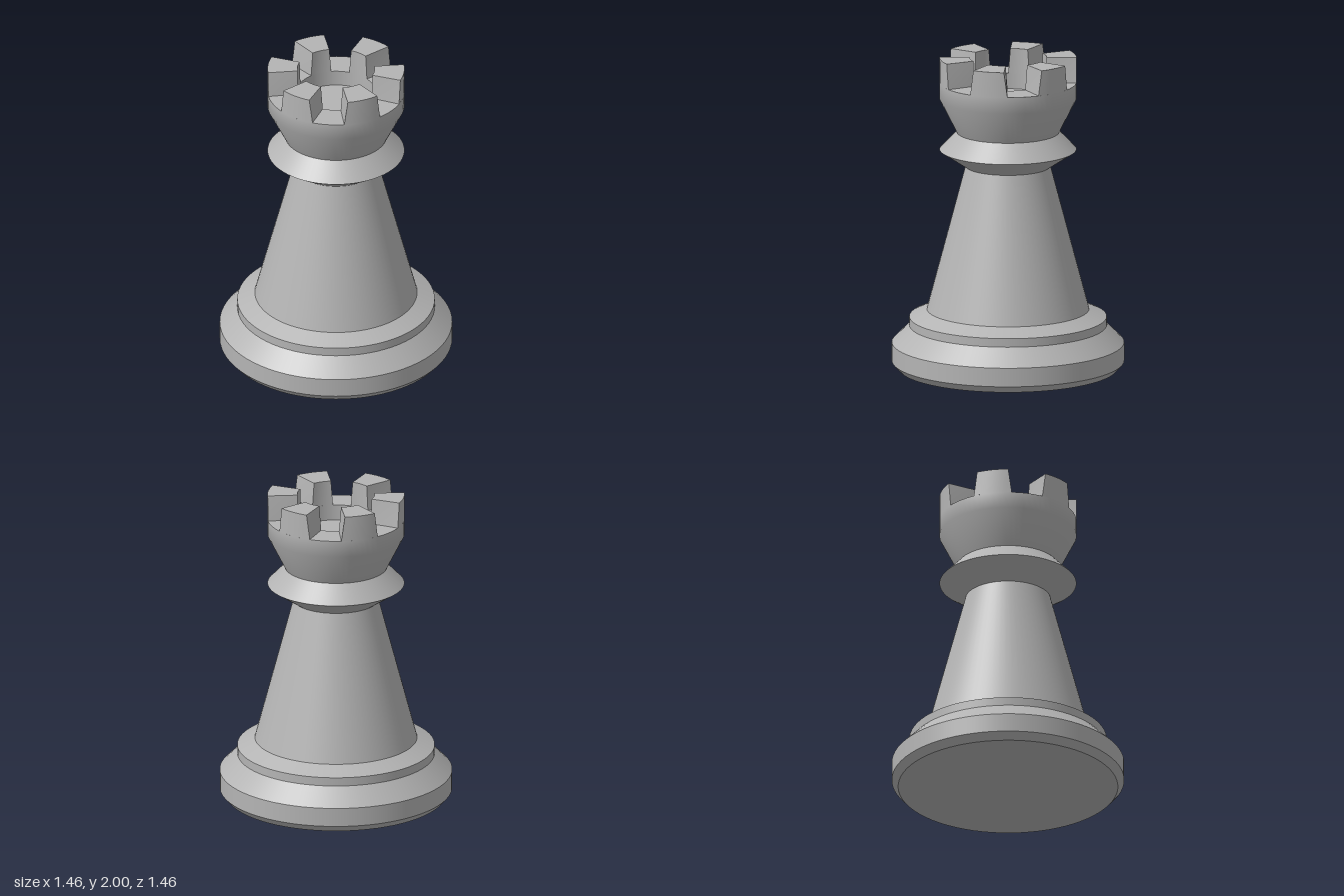
import * as THREE from 'three';
import { mergeGeometries, toCreasedNormals } from 'three/addons/utils/BufferGeometryUtils.js';

const SEGMENTS = 72;
const OUTER = 0.43, INNER = 0.243, FLOOR = 1.84, TOP = 2;

// Turned solid: each profile run is smooth, with a sharp edge between runs
function turned(...runs) {
  return mergeGeometries(runs.map((run) =>
    new THREE.LatheGeometry(run.map(([r, y]) => new THREE.Vector2(r, y)), SEGMENTS)));
}

// Consecutive profile points as separate straight bands
const bands = (pts) => pts.slice(1).map((p, i) => [pts[i], p]);

// Curved battlement block, narrower in angle at the top (angles from +z towards +x)
function merlonGeometry(base, top, steps = 6) {
  const pos = [];
  const point = (r, t, up) => {
    const [a, b] = up ? top : base;
    const angle = THREE.MathUtils.degToRad(a + (b - a) * t);
    return [r * Math.sin(angle), up ? TOP : FLOOR, r * Math.cos(angle)];
  };
  const quad = (a, b, c, d) => pos.push(...a, ...b, ...c, ...a, ...c, ...d);
  for (let i = 0; i < steps; i++) {
    const s = i / steps, t = (i + 1) / steps;
    quad(point(OUTER, s, 0), point(OUTER, t, 0), point(OUTER, t, 1), point(OUTER, s, 1));
    quad(point(INNER, t, 0), point(INNER, s, 0), point(INNER, s, 1), point(INNER, t, 1));
    quad(point(OUTER, s, 1), point(OUTER, t, 1), point(INNER, t, 1), point(INNER, s, 1));
  }
  // End walls
  quad(point(INNER, 0, 0), point(OUTER, 0, 0), point(OUTER, 0, 1), point(INNER, 0, 1));
  quad(point(OUTER, 1, 0), point(INNER, 1, 0), point(INNER, 1, 1), point(OUTER, 1, 1));
  const geometry = new THREE.BufferGeometry();
  geometry.setAttribute('position', new THREE.Float32BufferAttribute(pos, 3));
  return toCreasedNormals(geometry, 0.5);
}

export function createModel() {
  const group = new THREE.Group();
  const stone = new THREE.MeshStandardMaterial({ color: 0xb4b4b4 });
  stone.name = 'grey stone';
  const add = (name, geometry) => {
    const mesh = new THREE.Mesh(geometry, stone);
    mesh.name = name;
    group.add(mesh);
    return mesh;
  };

  // Stepped foot
  add('base', turned(...bands([
    [0, 0], [0.69, 0], [0.73, 0.045], [0.73, 0.165], [0.62, 0.275], [0.62, 0.33], [0.51, 0.38],
  ])));

  // Tapered shaft and the sharp collar above it
  add('shaft', turned([[0.51, 0.38], [0.267, 1.3]]));
  add('collar', turned(...bands([[0.267, 1.3], [0.43, 1.408], [0.322, 1.52]])));

  // Flared cup with a sunken floor
  add('head', turned(
    [[0.322, 1.52], [OUTER, 1.735], [OUTER, FLOOR]],
    [[OUTER, FLOOR], [INNER, FLOOR]],
    [[INNER, FLOOR], [INNER, 1.74]],
    [[INNER, 1.74], [0, 1.74]],
  ));

  // Ring of six battlements
  const merlon = merlonGeometry([27, 60], [30, 57]);
  for (let i = 0; i < 6; i++) {
    add('battlement' + (i + 1), merlon).rotation.y = (i * Math.PI) / 3;
  }
  return group;
}
